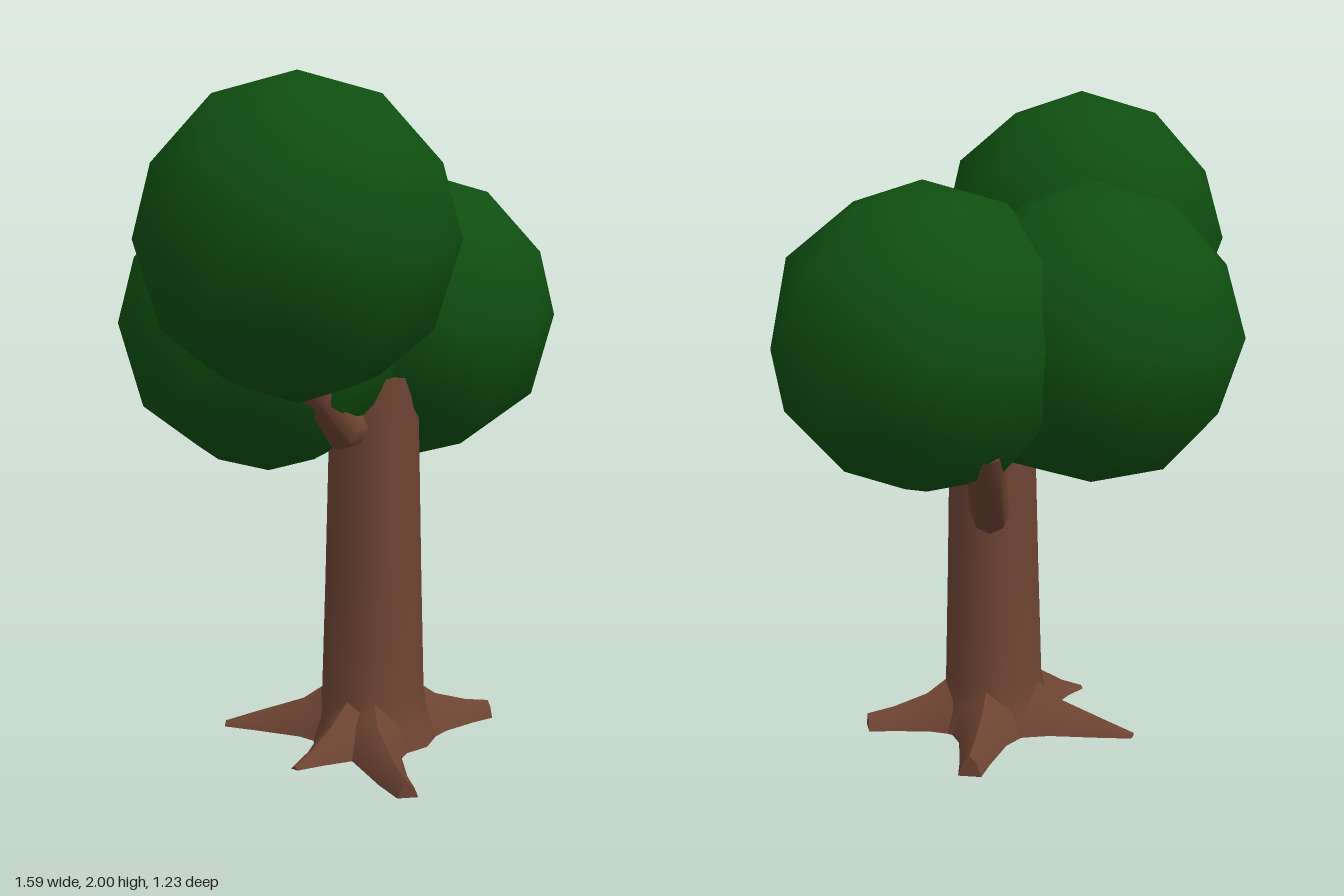
import * as THREE from 'three';
import { toCreasedNormals } from 'three/addons/utils/BufferGeometryUtils.js';

const TRUNK_X = 0.03, TRUNK_Z = 0.15;

// Closed solid through cross-sections that follow local +x; each section turns from +y to +z
function loft(sections, crease) {
  const n = sections[0].length, last = (sections.length - 1) * n, index = [];
  for (let i = 0; i < sections.length - 1; i++) {
    for (let j = 0; j < n; j++) {
      const a = i * n + j, b = i * n + (j + 1) % n;
      index.push(a, b, a + n, b, b + n, a + n);
    }
  }
  for (let j = 1; j < n - 1; j++) {
    index.push(0, j + 1, j, last, last + j, last + j + 1);
  }
  const geometry = new THREE.BufferGeometry();
  geometry.setAttribute('position', new THREE.Float32BufferAttribute(sections.flat(2), 3));
  geometry.setIndex(index);
  return toCreasedNormals(geometry, crease);
}

// Round branch: level stub, mitred elbow, then a rising arm
function branchGeometry() {
  const radius = 0.06, rise = 0.74;
  return loft([[0.05, 0, 0], [0.17, 0, rise / 2], [0.47, 0.273, rise]].map(([d, y, tilt]) => {
    const tall = tilt === rise / 2 ? radius / Math.cos(tilt) : radius;
    return Array.from({ length: 8 }, (_, k) => {
      const a = k * Math.PI / 4, c = tall * Math.cos(a);
      return [d - Math.sin(tilt) * c, y + Math.cos(tilt) * c, radius * Math.sin(a)];
    });
  }), 0.9);
}

// Tapering arched root with a flat underside
function rootGeometry(length, tipHeight, tipWidth, bend) {
  const steps = [[0.06, 0.2, 0.15], [0.15, 0.15, 0.115], [0.22, 0.1, 0.075],
    [length * 0.8, 0.04 + tipHeight * 0.5, 0.03 + tipWidth * 0.5], [length, tipHeight, tipWidth]];
  return loft(steps.map(([d, h, w]) => {
    const s = bend * Math.sin(Math.PI * d / length);
    return [[d, h, s], [d, h * 0.65, s + w * 0.6], [d, 0, s + w],
      [d, 0, s - w], [d, h * 0.65, s - w * 0.6]];
  }), 1.1);
}

export function createModel() {
  const model = new THREE.Group();
  model.name = 'tree';
  const bark = new THREE.MeshStandardMaterial({ color: 0x6e4433 });
  bark.name = 'brown bark';
  const leaves = new THREE.MeshStandardMaterial({ color: 0x0f4f10 });
  leaves.name = 'dark green leaves';

  const add = (name, geometry, material, x, y, z, turn = 0) => {
    const mesh = new THREE.Mesh(geometry, material);
    mesh.name = name;
    mesh.position.set(x, y, z);
    mesh.rotation.y = turn;
    model.add(mesh);
  };

  // Trunk, flared at the foot
  const profile = [[0, 0], [0.2, 0], [0.172, 0.07], [0.158, 0.15], [0.148, 0.5], [0.136, 1], [0.133, 1.13], [0, 1.13]]
    .map(([r, y]) => new THREE.Vector2(r, y));
  add('trunk', toCreasedNormals(new THREE.LatheGeometry(profile, 12), 0.9), bark, TRUNK_X, 0, TRUNK_Z);

  // Roots: tip x, tip z, tip height, tip half width, sideways bend
  [
    [-0.33, 0.51, 0.045, 0.03, 0.03],
    [0.385, 0.36, 0.05, 0.03, 0],
    [0.38, -0.13, 0.065, 0.035, 0],
    [-0.18, -0.27, 0.015, 0.015, 0.01],
    [-0.35, 0.13, 0.01, 0.012, -0.02],
  ].forEach(([x, z, height, width, bend], i) => {
    const dx = x - TRUNK_X, dz = z - TRUNK_Z;
    add(`root${i + 1}`, rootGeometry(Math.hypot(dx, dz), height, width, bend), bark,
      TRUNK_X, 0, TRUNK_Z, Math.atan2(-dz, dx));
  });

  // Branches
  add('upperBranch', branchGeometry(), bark, TRUNK_X, 0.985, TRUNK_Z, Math.PI);
  add('lowerBranch', branchGeometry(), bark, TRUNK_X, 0.735, TRUNK_Z, Math.PI / 4);

  // Leaf balls with one corner pointing straight up
  const ball = new THREE.IcosahedronGeometry(0.457, 1);
  ball.rotateZ(-Math.atan(2 / (1 + Math.sqrt(5))));
  add('upperFoliage', ball, leaves, -0.365, 1.543, 0.158);
  add('leftFoliage', ball, leaves, 0.36, 1.288, 0.075);
  add('backFoliage', ball, leaves, -0.1, 1.28, -0.155);

  return model;
}
